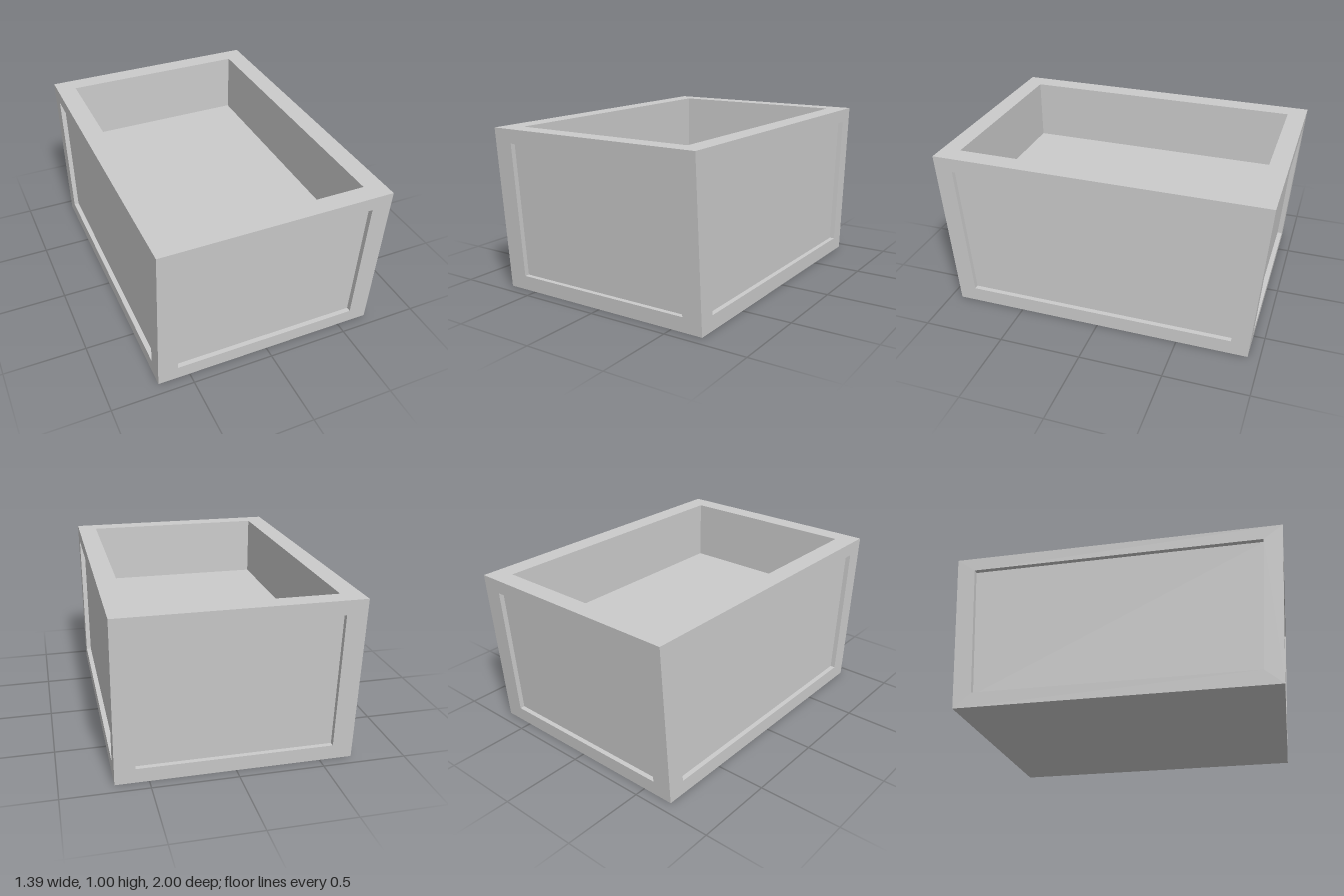
import * as THREE from 'three';

const X = 0.695;                          // half width
const halfDepth = y => 0.93 + 0.07 * y;   // front and back lean outwards
const RECESS = 0.03;
const material = new THREE.MeshStandardMaterial({ color: 0xcccccc, flatShading: true });

// Joins successive four-cornered loops (counter-clockwise from outside) and caps the last one.
function steppedFace(name, loops) {
  const pos = [];
  const quad = (a, b, c, d) => pos.push(...a, ...b, ...c, ...a, ...c, ...d);
  for (let l = 0; l < loops.length - 1; l++) {
    const o = loops[l], n = loops[l + 1];
    for (let i = 0; i < 4; i++) {
      const j = (i + 1) % 4;
      quad(o[i], o[j], n[j], n[i]);
    }
  }
  quad(...loops[loops.length - 1]);
  const geometry = new THREE.BufferGeometry();
  geometry.setAttribute('position', new THREE.Float32BufferAttribute(pos, 3));
  geometry.computeVertexNormals();
  const mesh = new THREE.Mesh(geometry, material);
  mesh.name = name;
  return mesh;
}

// Corner loops for each kind of face
const endLoop = (x, y0, y1, inset) =>
  [[-x, y0], [x, y0], [x, y1], [-x, y1]].map(([px, y]) => [px, y, halfDepth(y) - inset]);
const sideLoop = (x, y0, y1, margin) =>
  [[1, y0], [-1, y0], [-1, y1], [1, y1]].map(([s, y]) => [x, y, s * (halfDepth(y) - margin)]);
const flatLoop = (x, y, z) => [[-x, y, z], [x, y, z], [x, y, -z], [-x, y, -z]];

export function createModel() {
  const group = new THREE.Group();
  group.name = 'openCrate';

  // Framed walls with recessed panels, each made in opposite pairs
  for (const [k, end, side] of [[0, 'frontWall', 'leftWall'], [1, 'backWall', 'rightWall']]) {
    const endWall = steppedFace(end, [
      endLoop(X, 0, 1, 0),
      endLoop(0.575, 0.09, 0.915, 0),
      endLoop(0.575, 0.09, 0.915, RECESS),
    ]);
    const sideWall = steppedFace(side, [
      sideLoop(X, 0, 1, 0),
      sideLoop(X, 0.09, 0.915, 0.11),
      sideLoop(X - RECESS, 0.09, 0.915, 0.11),
    ]);
    endWall.rotation.y = sideWall.rotation.y = k * Math.PI;
    group.add(endWall, sideWall);
  }

  // Rim, inner walls and raised floor of the opening
  group.add(steppedFace('rimAndTray', [
    flatLoop(X, 1, halfDepth(1)),
    flatLoop(0.575, 1, 0.885),
    flatLoop(0.575, 0.615, 0.885),
  ]));

  // Underside
  group.add(steppedFace('base', [flatLoop(X, 0, halfDepth(0)).reverse()]));

  return group;
}
